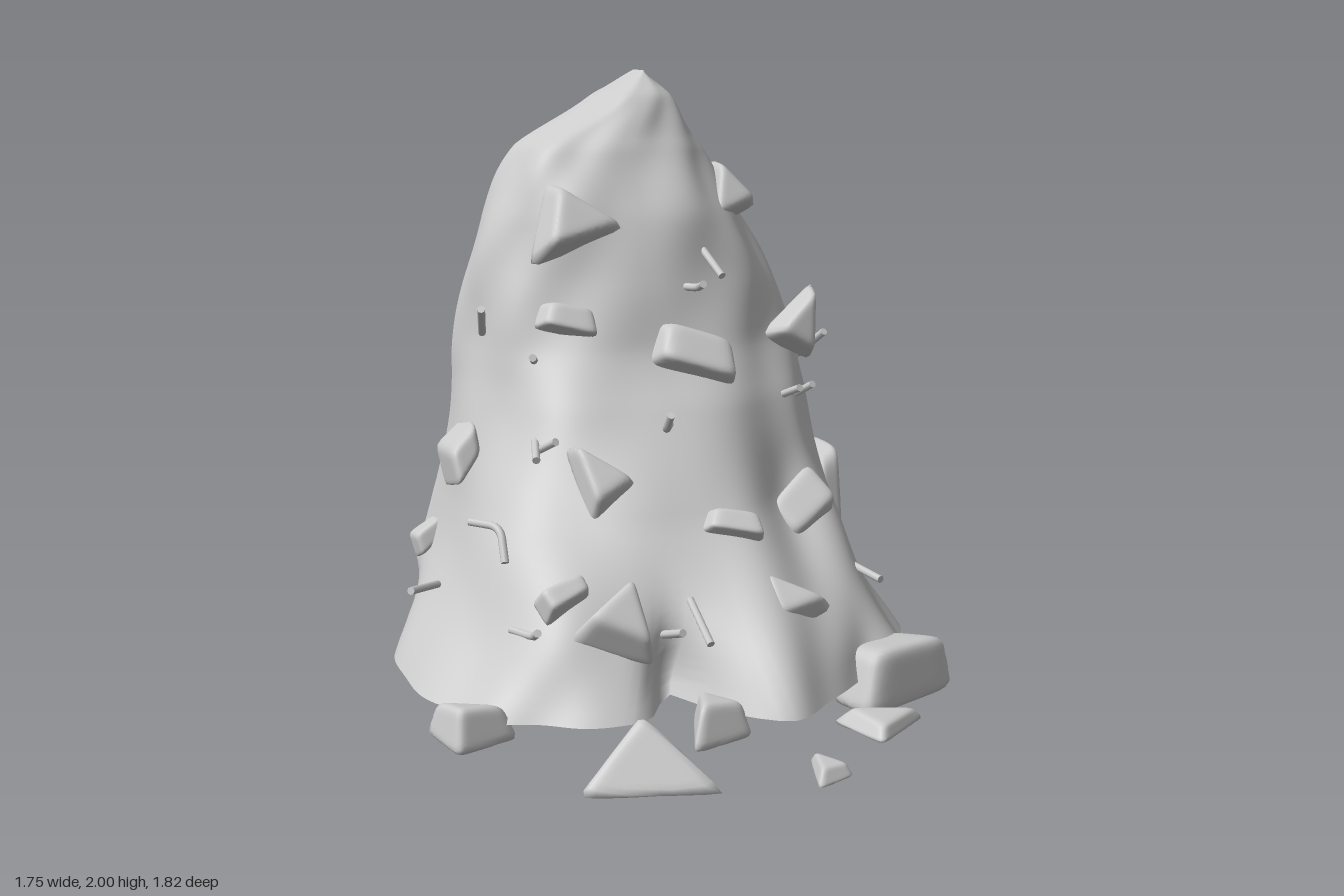
import * as THREE from 'three';
import { mergeVertices } from 'three/addons/utils/BufferGeometryUtils.js';

const BACK = -0.91;
const V = (x, y, z) => new THREE.Vector3(x, y, z);

// Mound sections: height, centre x, half width, depth from the open back
const SECTIONS = [
  [0.1, 0, .9, 1.24], [0.35, .01, .74, 1.07], [0.6, .02, .67, .86], [0.93, .03, .61, .63], [1.1, .02, .58, .52],
  [1.3, .01, .54, .465], [1.53, -.02, .44, .42], [1.75, -.03, .32, .32], [1.92, .055, .13, .23], [2, .08, .002, .12],
];
// Ridges and hollows of the slope: x, y, spread x, spread y, push forward
const LOBES = [
  [-.1, .1, .08, .2, -.22], [.2, .15, .12, .3, .1], [.43, .6, .13, .25, -.17],
  [.55, .1, .1, .15, -.13], [-.5, .45, .17, .25, .12], [-.78, .1, .13, .15, .1],
];
const spine = new THREE.CatmullRomCurve3(SECTIONS.map(([, cx, w, d]) => V(cx, w, d)));

// Section of the mound at a height, with the roundness of its corners
function sectionAt(y) {
  let i = 0;
  while (i < SECTIONS.length - 2 && y > SECTIONS[i + 1][0]) i++;
  const f = (y - SECTIONS[i][0]) / (SECTIONS[i + 1][0] - SECTIONS[i][0]);
  const s = spine.getPoint(Math.min(1, Math.max(0, (i + f) / (SECTIONS.length - 1))));
  return { cx: s.x, w: s.y, d: s.z, e: 0.8 - 0.15 * Math.max(0, 1 - (y - 0.1) / 0.5) };
}

const lobes = (x, y) => LOBES.reduce(
  (t, [lx, ly, sx, sy, push]) => t + push * Math.exp(-(((x - lx) / sx) ** 2) - ((y - ly) / sy) ** 2), 0);

// Front surface of the mound over a point of the front elevation
function slopeZ(x, y) {
  const { cx, w, d, e } = sectionAt(y);
  const q = Math.min(1, Math.abs(x - cx) / w);
  return BACK + d * (1 - q ** (2 / e)) ** (e / 2) + lobes(x, y);
}

function moundGeometry(cols = 96, rows = 72) {
  const pos = [], index = [];
  for (let r = 0; r <= rows; r++) {
    const v = r / rows, y = 0.1 + 1.9 * (1 - (1 - v) ** 1.3);
    const { cx, w, d, e } = sectionAt(y);
    const low = Math.max(0, 1 - (y - 0.1) / 0.25);
    for (let c = 0; c <= cols; c++) {
      const u = c / cols, cos = -Math.cos(Math.PI * u), sin = Math.max(0, Math.sin(Math.PI * u));
      // The foot tucks in towards the open back
      const tuck = 1 - 0.24 * low * Math.exp(-9 * sin);
      const x = cx + w * Math.sign(cos) * Math.abs(cos) ** e * tuck;
      const z = BACK + d * sin ** e + lobes(x, y) * sin;
      // Broad lumps push along the outward direction and fade at the summit
      const lump = (0.014 * Math.sin(17 * u + 5 * v) * Math.cos(15 * v + 4 * u)
        + 0.006 * Math.sin(29 * u - 23 * v) + 0.012 * low * Math.sin(50 * u)) * Math.min(1, 4 * (1 - v));
      const edge = c === 0 || c === cols;
      pos.push(x + lump * cos, y, edge ? BACK : Math.max(BACK, z + lump * sin));
      if (r < rows && c < cols) {
        const a = r * (cols + 1) + c, b = a + cols + 1;
        index.push(a, a + 1, b + 1, a, b + 1, b);
      }
    }
  }
  const g = new THREE.BufferGeometry();
  g.setAttribute('position', new THREE.Float32BufferAttribute(pos, 3));
  g.setIndex(index);
  g.computeVertexNormals();
  return g;
}

// Each kind of stone is a rounded prism: sides, lean of the sides, proportions
const KINDS = {
  slab: { sides: 4, lean: 0.12, stretch: [1.8, 0.85, 0.8] },
  shard: { sides: 3, lean: 0.25, stretch: [1, 1.15, 0.8] },
  pyramid: { sides: 3, lean: 0.6, stretch: [1, 1, 1] },
};

// Stone turned by tilt and roll, then fitted to its own box
function stoneGeometry(kind, size, tilt, roll) {
  const { sides, lean, stretch } = KINDS[kind];
  const faces = [V(0, 0, -1)];
  if (lean < 0.5) faces.push(V(0.15, 0.1, 1).normalize());
  for (let i = 0; i < sides; i++) {
    const a = Math.PI * (2 * i / sides - 0.5) + 0.15 * Math.sin(4 * i + 9 * roll);
    const n = V(Math.cos(a), Math.sin(a), lean * (1 + 0.4 * Math.sin(5 * i))).normalize();
    faces.push(n.multiplyScalar(1 + 0.15 * Math.sin(3 * i + 7 * roll)));
  }
  let g = new THREE.IcosahedronGeometry(1, 9);
  g.deleteAttribute('uv');
  g.deleteAttribute('normal');
  g = mergeVertices(g, 1e-4);
  const p = g.attributes.position, d = V(0, 0, 0);
  for (let i = 0; i < p.count; i++) {
    d.fromBufferAttribute(p, i).normalize();
    const sum = faces.reduce((t, n) => t + Math.max(0, d.dot(n)) ** 7, 0);
    d.multiplyScalar(sum ** (-1 / 7));
    p.setXYZ(i, d.x, d.y, d.z);
  }
  g.scale(...stretch);
  g.applyMatrix4(new THREE.Matrix4().makeRotationFromEuler(new THREE.Euler(tilt, 0, roll)));
  g.center();
  const box = g.boundingBox.getSize(V(0, 0, 0));
  g.scale(size[0] / box.x, size[1] / box.y, size[2] / box.z);
  g.computeVertexNormals();
  return g;
}

// Stones lodged in the slope: kind, x, y, width, height, roll
const LODGED = [
  ['shard', -.22, 1.51, .32, .25, .35], ['shard', .35, 1.57, .2, .24, .3],
  ['slab', -.28, 1.2, .2, .13, -.25], ['slab', .12, 1.08, .29, .22, -.3],
  ['shard', -.23, .72, .21, .24, .6], ['slab', .15, .59, .2, .11, -.25],
  ['slab', .47, .55, .27, .27, .7], ['slab', -.43, .43, .17, .14, .3],
  ['shard', -.3, .36, .24, .24, -.4], ['shard', .32, .36, .22, .18, .5],
];
// Stones on the steep flanks: kind, centre, size, roll
const FLANK = [
  ['shard', .52, 1.15, -.51, .19, .25, .13, -.5], ['slab', .7, .49, -.71, .12, .37, .37, 0],
  ['slab', -.61, .74, -.62, .12, .22, .28, .3], ['slab', -.7, .42, -.79, .11, .14, .11, .3],
];
// Stones lying on the ground: kind, centre, size, roll in plan
const FALLEN = [
  ['shard', -.73, .11, .18, .24, .13, .2, .6], ['pyramid', -.34, .15, .65, .37, .19, .29, -.15],
  ['shard', -.02, .1, .31, .2, .13, .26, .2], ['slab', .67, .1, .07, .42, .2, .35, .6],
  ['shard', .45, .11, .54, .26, .055, .2, -1.3], ['shard', .15, .11, .81, .12, .045, .19, .2],
];

// Bars: middle x and y, run in x and y, and z where they leave a steep flank
const BENT_BARS = [
  [.12, 1.31, .07, .02], [-.02, .92, -.04, .06, -.17], [-.61, .56, .08, -.1, -.2], [-.55, .34, .05, .03],
];
const STRAIGHT_BARS = [
  [.21, 1.39, .04, -.1], [-.54, 1.2, -.03, .1, -.58], [-.39, 1.08, -.04, .04], [.47, .93, .04, .06],
  [.53, .92, .05, .08], [.66, 1.05, .04, .1, -.71], [-.4, .82, .05, .07], [-.42, .82, -.03, -.05],
  [-.78, .37, -.11, .03, -.4], [-.11, .31, .04, .05], [-.02, .35, .02, -.1], [.66, .36, .05, -.02, -.18],
];

function barGroup([x, y, dx, dy, z = slopeZ(x, y)], bent, material) {
  const start = V(x - dx / 2, y - dy / 2, z - 0.05), tip = V(x + dx / 2, y + dy / 2, z + 0.1);
  const path = new THREE.CurvePath();
  if (bent) {
    const elbow = V(tip.x, start.y, z + 0.04);
    const a = elbow.clone().lerp(start, 0.35), b = elbow.clone().lerp(tip, 0.35);
    path.add(new THREE.LineCurve3(start, a));
    path.add(new THREE.QuadraticBezierCurve3(a, elbow, b));
    path.add(new THREE.LineCurve3(b, tip));
  } else path.add(new THREE.LineCurve3(start, tip));
  const bar = new THREE.Group();
  bar.name = 'bar';
  const shaft = new THREE.Mesh(new THREE.TubeGeometry(path, 14, 0.013, 8), material);
  shaft.name = 'barShaft';
  bar.add(shaft);
  for (const t of [0, 1]) {
    const end = new THREE.Mesh(new THREE.CircleGeometry(0.013, 8), material);
    end.name = 'barEnd';
    end.position.copy(path.getPoint(t));
    end.lookAt(end.position.clone().addScaledVector(path.getTangent(t), t ? 1 : -1));
    bar.add(end);
  }
  return bar;
}

export function createModel() {
  const model = new THREE.Group();
  model.name = 'rubbleMound';
  const grey = new THREE.MeshStandardMaterial({ color: 0xcccccc });
  const shell = new THREE.MeshStandardMaterial({ color: 0xcccccc, side: THREE.DoubleSide });

  // Hollow shell, open at the back and underneath
  const mound = new THREE.Mesh(moundGeometry(), shell);
  mound.name = 'mound';
  model.add(mound);

  const addStone = (name, kind, at, size, tilt, roll) => {
    const stone = new THREE.Mesh(stoneGeometry(kind, size, tilt, roll), grey);
    stone.name = name;
    stone.position.set(...at);
    model.add(stone);
  };
  for (const [kind, x, y, w, h, roll] of LODGED)
    addStone('lodgedStone', kind, [x, y, slopeZ(x, y)], [w, h, 0.4 * (w + h)], 0.4 * y - 0.9, roll);
  for (const [kind, x, y, z, w, h, d, roll] of FLANK)
    addStone('flankStone', kind, [x, y, z], [w, h, d], -0.15, roll);
  for (const [kind, x, y, z, w, h, d, roll] of FALLEN)
    addStone('fallenStone', kind, [x, y, z], [w, h, d], -Math.PI / 2, roll);

  for (const bar of BENT_BARS) model.add(barGroup(bar, true, grey));
  for (const bar of STRAIGHT_BARS) model.add(barGroup(bar, false, grey));
  return model;
}
